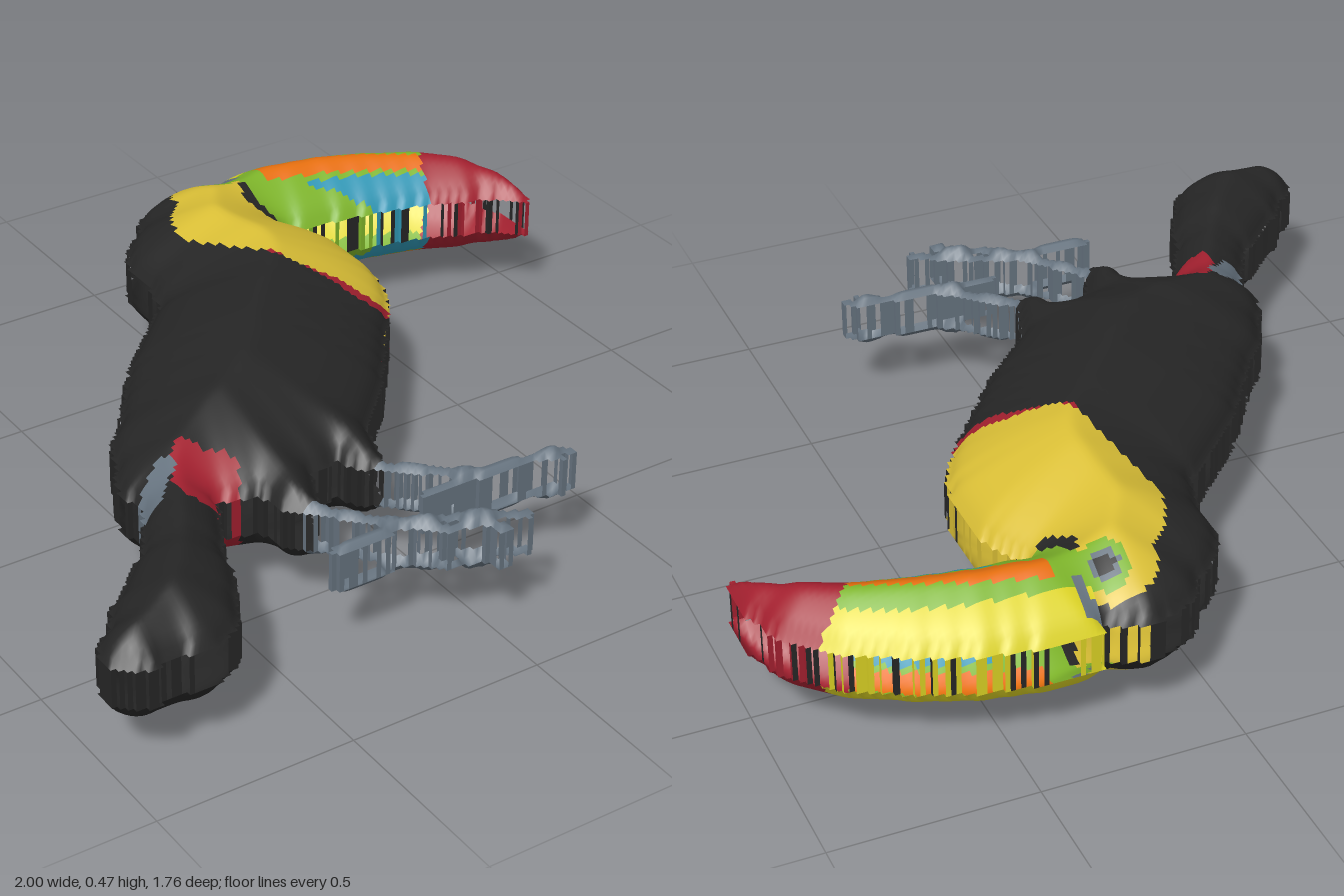
import * as THREE from 'three';

const CELL = 0.0125, NX = 162, NZ = 144, X0 = -1.0125, Z0 = -0.9;
const MID = 0.235, RIM = 0.05, PUFF = 0.4;

// A limb is a row of circles [x, z, radius] joined by tapered segments.
// Gives the distance d in radii, the place t along it and the signed side s.
const limb = (...points) => (x, z) => {
  let best = { d: Infinity };
  for (let i = 0; i + 1 < points.length; i++) {
    const [ax, az, ar = 0.016] = points[i], [bx, bz, br = 0.016] = points[i + 1];
    const dx = bx - ax, dz = bz - az, px = x - ax, pz = z - az;
    const f = THREE.MathUtils.clamp((px * dx + pz * dz) / (dx * dx + dz * dz), 0, 1);
    const r = ar + (br - ar) * f, d = Math.hypot(px - f * dx, pz - f * dz) / r;
    if (d < best.d) best = { d, t: i + f, s: (dx * pz - dz * px) / Math.hypot(dx, dz) / r };
  }
  return best;
};
const area = (...limbs) => (x, z) => limbs.some((l) => l(x, z).d < 1);
const disc = (r) => (x, z) => Math.hypot(x - 0.24, z + 0.756) < r;

const plumage = area(
  // head, breast and rump
  limb([.18, -.71, .175], [.12, -.58, .22], [.14, -.38, .275], [.13, -.28, .28], [.07, -.21, .29],
    [-.11, -.01, .31], [-.23, .13, .295], [-.36, .2, .24], [-.51, .275, .137]),
  // tail
  limb([-.57, .4, .088], [-.65, .54, .09], [-.705, .625, .118], [-.79, .735, .14], [-.92, .79, .08]),
  // thighs
  limb([-.31, .4, .085], [-.325, .5, .052]), limb([-.1, .35, .08], [-.1, .44, .046]));
const legs = area(
  limb([-.32, .54, .02], [-.19, .7, .02], [-.1, .78], [0, .81], [.005, .85]),
  limb([-.355, .72], [-.2, .715]), limb([-.16, .71], [-.02, .77], [.085, .83]),
  limb([-.09, .48, .02], [.09, .64, .02], [.3, .655], [.325, .675]),
  limb([-.055, .64], [.09, .63]), limb([.25, .66], [.29, .68]));
const beakLimb = limb([.3, -.73, .145], [.415, -.72, .155], [.545, -.7, .15], [.66, -.665, .138], [.785, -.615, .12],
  [.877, -.55, .1], [.945, -.475, .06], [.985, -.385, .018]);
const beak = (rule) => (x, z) => {
  const { d, t, s } = beakLimb(x, z);
  return d < 1 && x > 0.285 && rule(t, s);
};

// Parts in painting order: [name, colour, test, solid]; later ones cover earlier ones
const PARTS = [
  ['legs', 'grey', legs, true],
  ['plumage', 'black', plumage, true],
  ['throatStripe', 'red', area(limb([.275, -.3, .19], [.32, -.185, .13]))],
  ['bib', 'bibYellow', area(limb([.22, -.73, .11], [.21, -.55, .195], [.27, -.34, .195], [.33, -.2, .115]))],
  ['rumpPatch', 'red', area(limb([-.5, .32, .04], [-.53, .4, .05], [-.46, .38, .055]))],
  ['rumpFeather', 'grey', area(limb([-.64, .37, .035], [-.56, .315, .025]))],
  ['upperBeak', 'beakYellow', beak(() => true), true],
  ['lowerBeak', 'green', beak((t, s) => s > -0.42)],
  ['beakFlash', 'orange', beak((t, s) => t > 0.55 && s > -0.3 + 0.09 * t && s < 0.22 + 0.05 * t)],
  ['beakPatch', 'blue', beak((t, s) => s > 0.34 + 0.04 * t && s < 0.45 + 0.35 * (t - 1.4))],
  ['beakTip', 'red', beak((t, s) => t > 4.15 + 0.3 * s * s)],
  ['beakSeam', 'black', area(limb([.29, -.69], [.28, -.64], [.31, -.575]))],
  ['nostril', 'grey', area(limb([.305, -.84], [.315, -.78]))],
  ['eyeSkin', 'green', disc(0.057)],
  ['iris', 'grey', disc(0.034)],
  ['pupil', 'black', disc(0.023)],
];
const COLORS = { black: 0x262626, grey: 0x66737f, red: 0xa3202f, bibYellow: 0xdabf36, beakYellow: 0xdcd324,
  green: 0x7eb52a, orange: 0xe8700f, blue: 0x2f97b5 };

export function createModel() {
  const model = new THREE.Group();
  model.name = 'bird';
  const materials = {};
  for (const [name, color] of Object.entries(COLORS)) {
    materials[name] = new THREE.MeshStandardMaterial({ color, side: THREE.DoubleSide });
    materials[name].name = name;
  }

  // Assign each grid cell to a part
  const cells = new Int8Array(NX * NZ).fill(-1);
  const cellAt = (i, j) => (i < 0 || j < 0 || i >= NX || j >= NZ ? -1 : cells[j * NX + i]);
  for (let j = 0; j < NZ; j++) for (let i = 0; i < NX; i++) {
    const x = X0 + (i + .5) * CELL, z = Z0 + (j + .5) * CELL;
    if (!PARTS.some((p) => p[3] && p[2](x, z))) continue;
    PARTS.forEach((p, k) => { if (p[2](x, z)) cells[j * NX + i] = k; });
  }

  // Puff up each grid corner by its distance from the outline, then soften the ridges
  const W = NX + 1, H = NZ + 1, edge = [], inner = [];
  let puff = new Float64Array(W * H);
  for (let j = 0; j < H; j++) for (let i = 0; i < W; i++) {
    const around = [cellAt(i, j), cellAt(i - 1, j), cellAt(i, j - 1), cellAt(i - 1, j - 1)];
    if (around.every((k) => k >= 0)) inner.push([i, j]);
    else if (around.some((k) => k >= 0)) edge.push([i, j]);
  }
  for (const [i, j] of inner) {
    let near = Infinity;
    for (const [ei, ej] of edge) near = Math.min(near, (ei - i) ** 2 + (ej - j) ** 2);
    puff[j * W + i] = PUFF * (Math.sqrt(near) * CELL) ** 0.63;
  }
  for (let n = 0; n < 4; n++) {
    const soft = puff.slice();
    for (const [i, j] of inner) {
      const c = j * W + i;
      soft[c] = puff[c] / 2 + (puff[c - 1] + puff[c + 1] + puff[c - W] + puff[c + W]) / 8;
    }
    puff = soft;
  }

  // Shared vertices for the upper and lower shells
  const position = [], all = [], index = PARTS.map(() => []), rims = PARTS.map(() => []);
  for (const s of [1, -1]) for (let c = 0; c < W * H; c++) {
    position.push(X0 + (c % W) * CELL, MID + s * (RIM + puff[c]), Z0 + Math.floor(c / W) * CELL);
  }
  let seed = 7;
  const random = () => (seed = (seed * 16807) % 2147483647) / 2147483647;
  const wall = (list, xa, za, xb, zb) => {
    const lo = MID - RIM, hi = MID + RIM;
    list.push(xa, lo, za, xb, lo, zb, xb, hi, zb, xa, lo, za, xb, hi, zb, xa, hi, za);
  };
  for (let j = 0; j < NZ; j++) for (let i = 0; i < NX; i++) {
    const k = cellAt(i, j);
    if (k < 0) continue;
    const a = j * W + i, b = a + 1, c = a + W, d = c + 1, o = W * H;
    const quad = [a, c, b, b, c, d, a + o, b + o, c + o, b + o, d + o, c + o];
    index[k].push(...quad);
    all.push(...quad);
    // Slatted rim: upright strips along the stepped edge, with gaps and some black strips
    const x = X0 + i * CELL, z = Z0 + j * CELL, x2 = x + CELL, z2 = z + CELL;
    const sides = [[0, 1, x, z2, x2, z2], [0, -1, x2, z, x, z], [1, 0, x2, z2, x2, z], [-1, 0, x, z, x, z2]];
    for (const [di, dj, ...ends] of sides) {
      if (cellAt(i + di, j + dj) >= 0 || random() > 0.47) continue;
      wall(rims[k > 1 && random() < 0.4 ? 1 : k], ...ends);
    }
  }
  const shell = new THREE.BufferGeometry();
  shell.setAttribute('position', new THREE.Float32BufferAttribute(position, 3));
  shell.setIndex(all);
  shell.computeVertexNormals();

  // One mesh per part, plus its strips of rim
  PARTS.forEach(([name, color], k) => {
    const geometry = new THREE.BufferGeometry();
    geometry.setAttribute('position', shell.attributes.position);
    geometry.setAttribute('normal', shell.attributes.normal);
    geometry.setIndex(index[k]);
    const mesh = new THREE.Mesh(geometry, materials[color]);
    mesh.name = name;
    model.add(mesh);
    if (!rims[k].length) return;
    const rimGeometry = new THREE.BufferGeometry();
    rimGeometry.setAttribute('position', new THREE.Float32BufferAttribute(rims[k], 3));
    rimGeometry.computeVertexNormals();
    const rim = new THREE.Mesh(rimGeometry, materials[color]);
    rim.name = name + 'Rim';
    model.add(rim);
  });
  return model;
}
